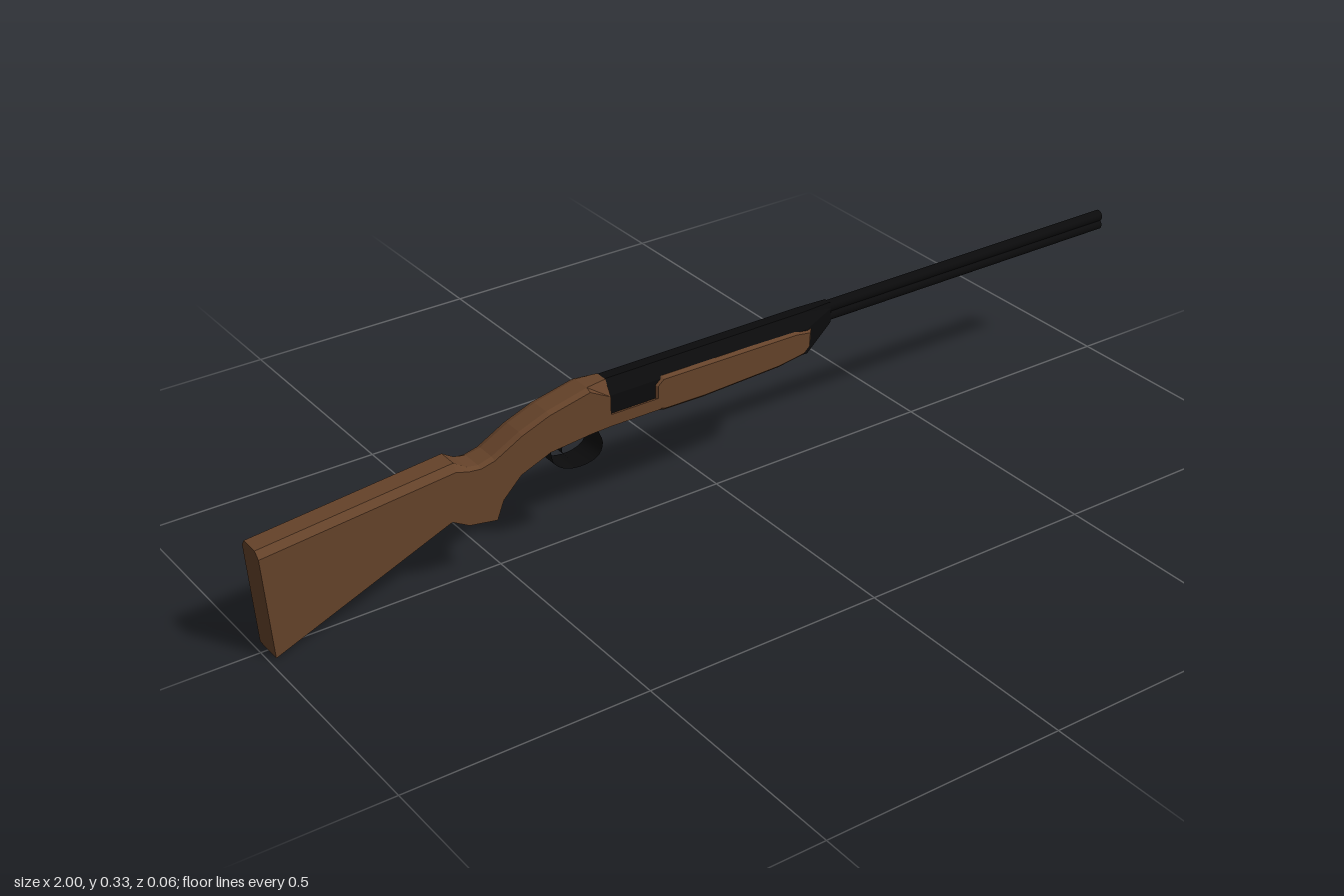
import * as THREE from 'three';

const wood = new THREE.MeshStandardMaterial({ color: 0x66432a });
wood.name = 'walnut wood';
const steel = new THREE.MeshStandardMaterial({ color: 0x0b0b0c, side: THREE.DoubleSide });
steel.name = 'black steel';

const HALF = 0.032;

// Six-sided cross-section with a chamfered top edge
function section(top, bottom, topZ, drop, w = HALF) {
  const [tx, ty] = top, [bx, by] = bottom;
  const k = drop / (ty - by);
  const sx = tx + (bx - tx) * k, sy = ty - drop;
  return [[tx, ty, topZ], [sx, sy, w], [bx, by, w], [bx, by, -w], [sx, sy, -w], [tx, ty, -topZ]];
}

// Skin between sections ordered along +x, with both ends capped, flat faceted
function loft(sections) {
  const pos = [];
  const tri = (a, b, c) => pos.push(...a, ...b, ...c);
  const n = sections[0].length;
  for (let i = 0; i < sections.length - 1; i++) {
    for (let j = 0; j < n; j++) {
      const a = sections[i][j], b = sections[i][(j + 1) % n];
      const c = sections[i + 1][(j + 1) % n], d = sections[i + 1][j];
      tri(a, b, c);
      tri(a, c, d);
    }
  }
  const first = sections[0], last = sections[sections.length - 1];
  for (let j = 1; j < n - 1; j++) {
    tri(first[0], first[j + 1], first[j]);
    tri(last[0], last[j], last[j + 1]);
  }
  const g = new THREE.BufferGeometry();
  g.setAttribute('position', new THREE.Float32BufferAttribute(pos, 3));
  g.computeVertexNormals();
  return g;
}

// Thin strip following a side-view curve, spread across z
function ribbon(points, halfWidth, segments) {
  const curve = new THREE.CatmullRomCurve3(points.map(([x, y]) => new THREE.Vector3(x, y, 0)));
  const g = new THREE.PlaneGeometry(1, 1, segments, 1);
  const p = g.attributes.position;
  for (let i = 0; i < p.count; i++) {
    const c = curve.getPoint(p.getX(i) + 0.5);
    p.setXYZ(i, c.x, c.y, Math.sign(p.getY(i)) * halfWidth);
  }
  g.computeVertexNormals();
  return g;
}

export function createModel() {
  const model = new THREE.Group();
  const add = (name, geometry, material) => {
    const mesh = new THREE.Mesh(geometry, material);
    mesh.name = name;
    model.add(mesh);
    return mesh;
  };

  // Shoulder stock and pistol grip: top point, bottom point, top half width, chamfer drop
  add('stock', loft([
    [[-1, 0.228], [-0.985, 0.002], 0.021, 0.014],
    [[-0.6, 0.267], [-0.615, 0.152], 0.021, 0.014],
    [[-0.575, 0.251], [-0.58, 0.132], 0.023, 0.006],
    [[-0.55, 0.246], [-0.52, 0.122], 0.022, 0.004],
    [[-0.52, 0.253], [-0.505, 0.16], 0.02, 0.004],
    [[-0.46, 0.285], [-0.465, 0.2], 0.02, 0.004],
    [[-0.4, 0.308], [-0.4, 0.226], 0.02, 0.004],
    [[-0.31, 0.329], [-0.31, 0.235], 0.02, 0.005],
    [[-0.265, 0.33], [-0.265, 0.237], 0.014, 0.03],
  ].map((s) => section(...s))), wood);

  // Wooden tongue below the receiver
  add('stockTongue', new THREE.BoxGeometry(0.115, 0.025, HALF * 2).translate(-0.2085, 0.2495, 0), wood);

  // Receiver, tapering into the barrels at the front
  add('receiver', loft([
    section([-0.265, 0.33], [-0.265, 0.26], 0.012, 0.03, 0.028),
    section([0.2, 0.33], [0.2, 0.246], 0.012, 0.03, 0.028),
    section([0.27, 0.33], [0.27, 0.288], 0.008, 0.012, 0.012),
  ]), steel);

  // Fore-end with bevelled sides
  const outline = new THREE.Shape([
    [-0.158, 0.24], [-0.14, 0.236], [-0.05, 0.235], [0.13, 0.242], [0.19, 0.251],
    [0.202, 0.262], [0.204, 0.292], [0.17, 0.297], [-0.145, 0.299], [-0.158, 0.288],
  ].map(([x, y]) => new THREE.Vector2(x, y)));
  const foreEnd = new THREE.ExtrudeGeometry(outline, {
    depth: 0.052, bevelEnabled: true, bevelThickness: 0.006, bevelSize: 0.006, bevelSegments: 1,
  }).translate(0, 0, -0.026);
  add('foreEnd', foreEnd, wood);

  // Stacked pair of barrels
  for (const [name, y] of [['upperBarrel', 0.318], ['lowerBarrel', 0.299]]) {
    const barrel = new THREE.CylinderGeometry(0.012, 0.012, 1.2, 16).rotateZ(Math.PI / 2);
    add(name, barrel, steel).position.set(0.4, y, 0);
  }

  // Wide trigger guard and curved trigger
  add('triggerGuard', ribbon([
    [-0.4, 0.23], [-0.392, 0.197], [-0.365, 0.178], [-0.325, 0.173],
    [-0.293, 0.184], [-0.284, 0.208], [-0.294, 0.236],
  ], 0.03, 18), steel);
  add('trigger', ribbon([[-0.345, 0.236], [-0.36, 0.222], [-0.363, 0.204], [-0.35, 0.188]], 0.012, 8), steel);

  return model;
}
